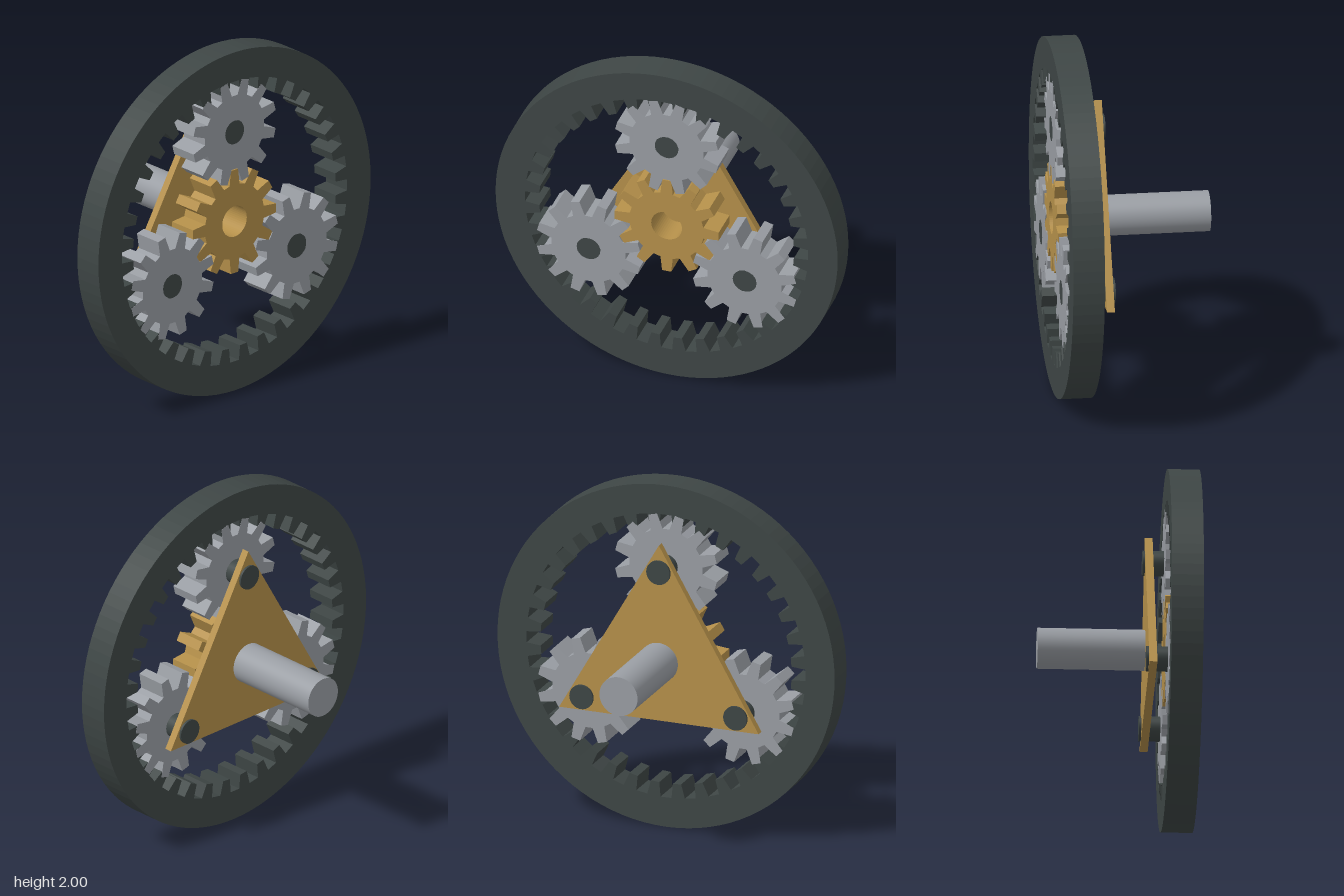
import * as THREE from 'three';

const Z_BACK = 0.262, Z_FRONT = 0.437; // shared depth of all the gears
const CENTER_Y = 1;

// Closed outline with tapered teeth; half-angles in degrees at tip and root
function toothOutline(count, rTip, rRoot, tipHalf, rootHalf, phase) {
  const pts = [];
  const add = (r, deg) => {
    const a = THREE.MathUtils.degToRad(deg);
    pts.push(new THREE.Vector2(r * Math.cos(a), r * Math.sin(a)));
  };
  for (let i = 0; i < count; i++) {
    const mid = phase + (i * 360) / count;
    add(rRoot, mid - rootHalf);
    add(rTip, mid - tipHalf);
    add(rTip, mid + tipHalf);
    add(rRoot, mid + rootHalf);
  }
  return pts;
}

function circlePath(radius) {
  return new THREE.Path().absarc(0, 0, radius, 0, Math.PI * 2, true);
}

function extrude(shape, z0, z1, curveSegments) {
  const geo = new THREE.ExtrudeGeometry(shape, { depth: z1 - z0, bevelEnabled: false, curveSegments });
  return geo.translate(0, 0, z0);
}

// Cylinder lying along z
function rod(radius, z0, z1, segments) {
  return new THREE.CylinderGeometry(radius, radius, z1 - z0, segments)
    .rotateX(Math.PI / 2)
    .translate(0, 0, (z0 + z1) / 2);
}

export function createModel() {
  const makeMaterial = (name, color) => {
    const m = new THREE.MeshStandardMaterial({ color });
    m.name = name;
    return m;
  };
  const darkSteel = makeMaterial('dark steel', 0x3e4645);
  const paleSteel = makeMaterial('pale steel', 0x999da3);
  const brass = makeMaterial('brass', 0xb5904a);

  const model = new THREE.Group();
  model.name = 'planetaryGearset';

  const addMesh = (name, geo, material, x = 0, y = 0) => {
    const mesh = new THREE.Mesh(geo, material);
    mesh.name = name;
    mesh.position.set(x, CENTER_Y + y, 0);
    model.add(mesh);
    return mesh;
  };

  // Outer ring with inward teeth
  const ring = new THREE.Shape().absarc(0, 0, 1, 0, Math.PI * 2, false);
  ring.holes.push(new THREE.Path(toothOutline(36, 0.745, 0.828, 1.9, 2.75, 5)));
  addMesh('ringGear', extrude(ring, Z_BACK, Z_FRONT, 48), darkSteel);

  // Central gear with a bore
  const sun = new THREE.Shape(toothOutline(12, 0.306, 0.218, 5, 9.5, 0));
  sun.holes.push(circlePath(0.09));
  addMesh('sunGear', extrude(sun, Z_BACK, Z_FRONT, 24), brass);

  // Three planet gears on pins
  const planet = new THREE.Shape(toothOutline(12, 0.306, 0.218, 5, 9.5, 15));
  planet.holes.push(circlePath(0.069));
  const planetGeo = extrude(planet, Z_BACK - 0.001, Z_FRONT + 0.001, 16);
  const pinGeo = rod(0.07, 0.143, Z_FRONT + 0.001, 32);
  for (let i = 0; i < 3; i++) {
    const a = Math.PI / 2 + (i * Math.PI * 2) / 3;
    const x = 0.527 * Math.cos(a), y = 0.527 * Math.sin(a);
    addMesh('planetGear' + (i + 1), planetGeo, paleSteel, x, y);
    addMesh('planetPin' + (i + 1), pinGeo, darkSteel, x, y);
  }

  // Triangular carrier plate
  const corners = [0, 1, 2].map((i) => {
    const a = Math.PI / 2 + (i * Math.PI * 2) / 3;
    return new THREE.Vector2(0.683 * Math.cos(a), 0.683 * Math.sin(a));
  });
  addMesh('carrierPlate', extrude(new THREE.Shape(corners), 0.156, 0.2, 1), brass);

  // Output shaft behind the carrier
  addMesh('outputShaft', rod(0.113, -0.437, 0.165, 48), paleSteel);

  return model;
}
